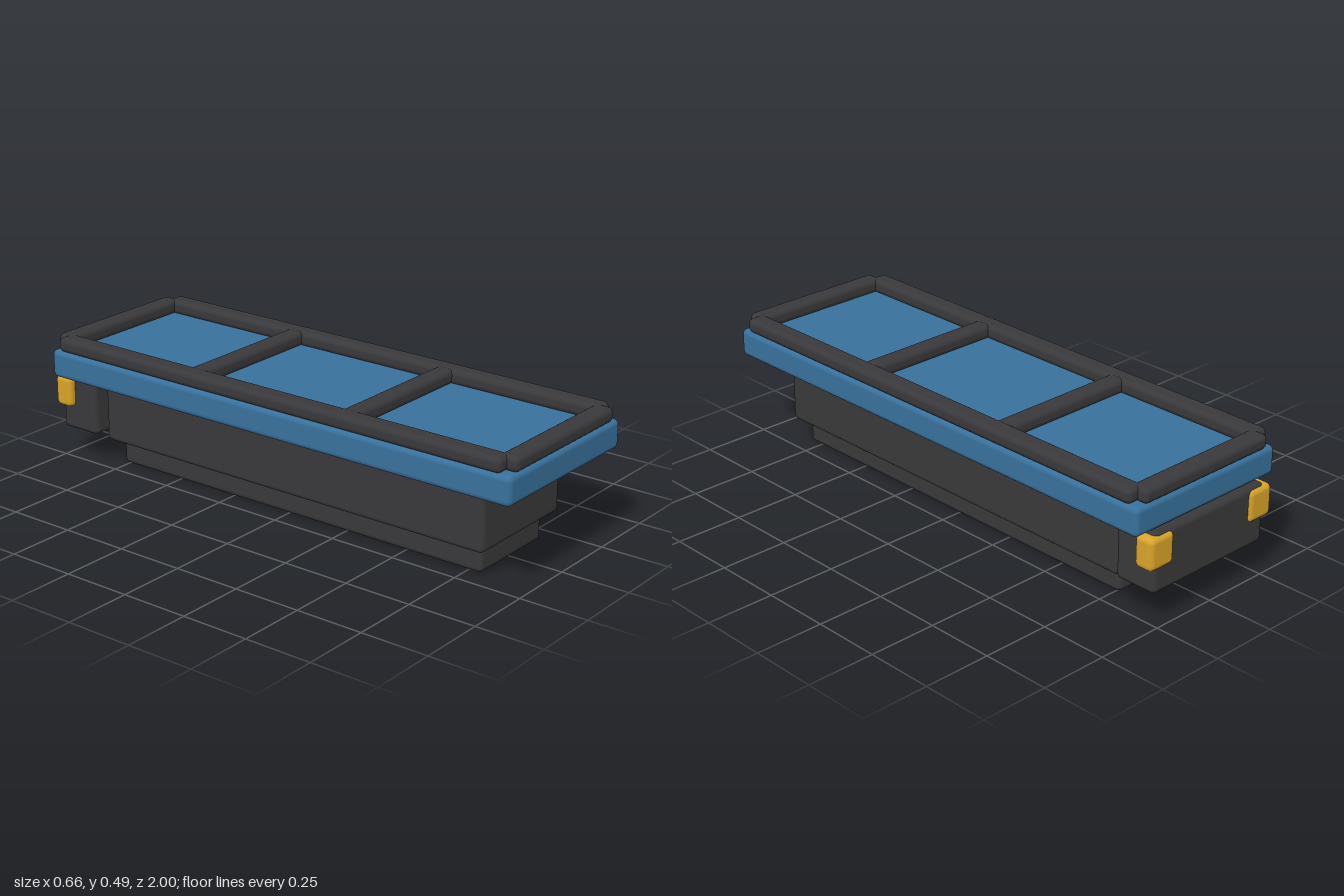
import * as THREE from 'three';
import { RoundedBoxGeometry } from 'three/addons/geometries/RoundedBoxGeometry.js';

const dark = new THREE.MeshStandardMaterial({ color: 0x39393b });
const blue = new THREE.MeshStandardMaterial({ color: 0x38719c });
const yellow = new THREE.MeshStandardMaterial({ color: 0xd9a428 });

export function createModel() {
  const model = new THREE.Group();
  model.name = 'solarPanelUnit';

  // Rounded block given by its extents on each axis
  function block(name, material, [x0, x1], [y0, y1], [z0, z1], radius = 0.02) {
    const geometry = new RoundedBoxGeometry(x1 - x0, y1 - y0, z1 - z0, 3, radius);
    const mesh = new THREE.Mesh(geometry, material);
    mesh.name = name;
    mesh.position.set((x0 + x1) / 2, (y0 + y1) / 2, (z0 + z1) / 2);
    model.add(mesh);
  }

  // Stepped body, from the bottom up
  block('base', dark, [-0.18, 0.18], [0, 0.095], [-0.77, 0.805]);
  block('body', dark, [-0.23, 0.23], [0.095, 0.333], [-0.805, 0.84]);
  block('rearBox', dark, [-0.263, 0.263], [0.115, 0.333], [-0.99, -0.825]);
  block('panelSlab', blue, [-0.33, 0.33], [0.332, 0.436], [-0.97, 1]);

  // Frame on top of the slab
  const railY = [0.434, 0.488];
  block('leftRail', dark, [0.255, 0.33], railY, [-0.935, 0.96]);
  block('rightRail', dark, [-0.33, -0.255], railY, [-0.935, 0.96]);
  [-0.935, 0.962].forEach((z, i) =>
    block(i ? 'frontRail' : 'rearRail', dark, [-0.29, 0.29], railY, [z - 0.037, z + 0.037]));
  [-0.32, 0.34].forEach((z, i) =>
    block(i ? 'frontCrossbar' : 'rearCrossbar', dark, [-0.28, 0.28], railY, [z - 0.036, z + 0.036]));

  // Corner lamps on the rear box
  block('leftLamp', yellow, [0.18, 0.29], [0.207, 0.324], [-1, -0.925]);
  block('rightLamp', yellow, [-0.29, -0.18], [0.207, 0.324], [-1, -0.925]);

  return model;
}
